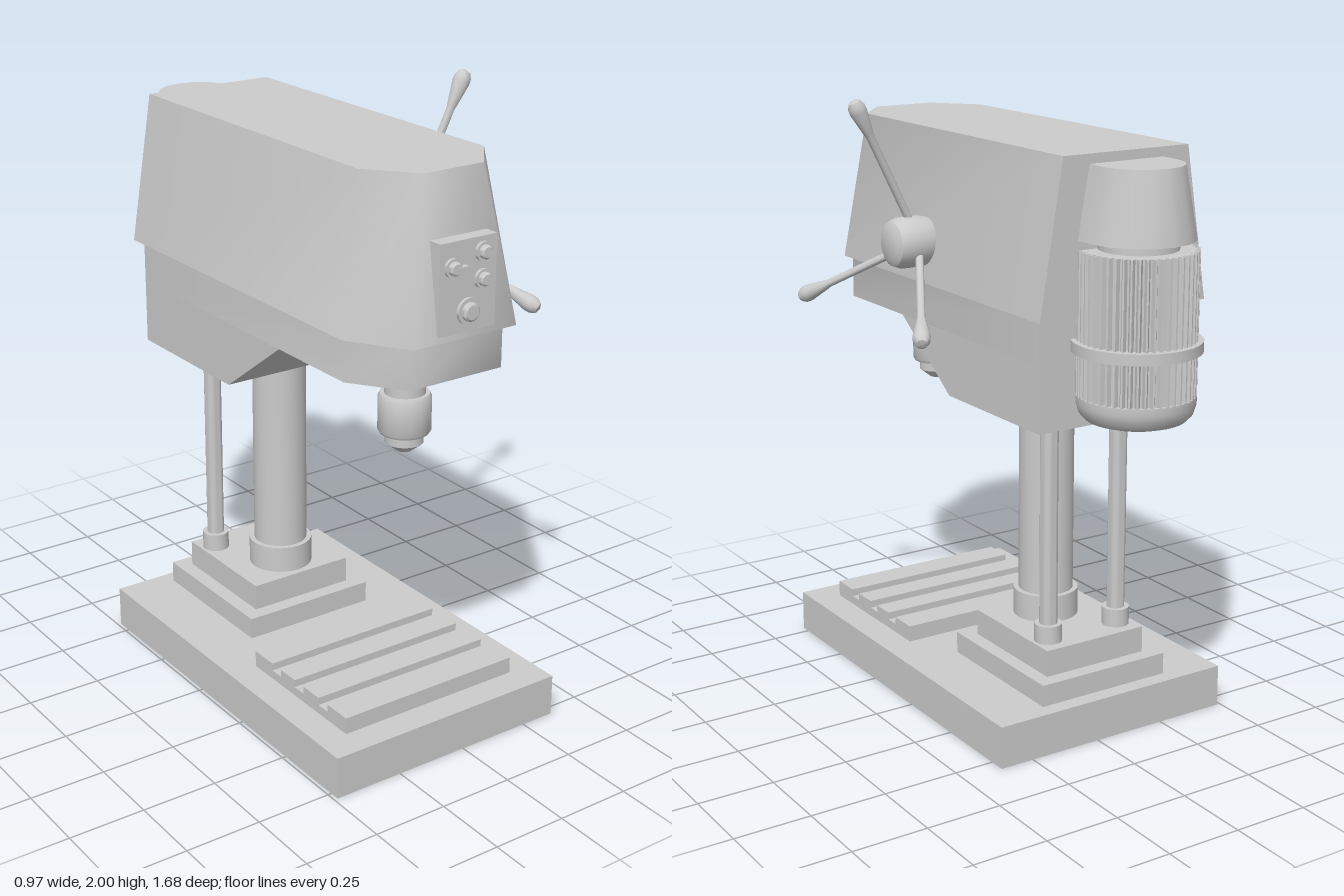
import * as THREE from 'three';
import { toCreasedNormals } from 'three/addons/utils/BufferGeometryUtils.js';

const CX = -0.06; // centre plane of the machine

export function createModel() {
  const model = new THREE.Group();
  model.name = 'drillPress';
  const grey = new THREE.MeshStandardMaterial({ color: 0xcccccc });

  function add(name, geometry, x = 0, y = 0, z = 0, parent = model) {
    const mesh = new THREE.Mesh(geometry, grey);
    mesh.name = name;
    mesh.position.set(x, y, z);
    parent.add(mesh);
    return mesh;
  }
  // Box from its bounds
  const block = (name, x0, x1, y0, y1, z0, z1) =>
    add(name, new THREE.BoxGeometry(x1 - x0, y1 - y0, z1 - z0), (x0 + x1) / 2, (y0 + y1) / 2, (z0 + z1) / 2);
  // Turned part from [radius, height] pairs, listed bottom to top
  const turned = (profile, segments = 32) => toCreasedNormals(
    new THREE.LatheGeometry(profile.map(([r, y]) => new THREE.Vector2(r, y)), segments), 0.65);
  const rod = (r, y0, y1, segments = 32) => turned([[0, y0], [r, y0], [r, y1], [0, y1]], segments);
  // Side profile of [z, y] pairs extruded across x
  function sideExtrude(points, width) {
    const shape = new THREE.Shape(points.map(([z, y]) => new THREE.Vector2(-z, y)));
    return new THREE.ExtrudeGeometry(shape, { depth: width, bevelEnabled: false })
      .translate(0, 0, -width / 2).rotateY(Math.PI / 2);
  }
  // Closed solid between two convex [x, z] outlines (counterclockwise from above)
  function loft(low, y0, high, y1, crease) {
    const a = low.map(([x, z]) => [x, y0, z]);
    const b = high.map(([x, z]) => [x, y1, z]);
    const pos = [];
    const n = a.length;
    for (let i = 0; i < n; i++) {
      const j = (i + 1) % n;
      pos.push(...a[i], ...a[j], ...b[j], ...a[i], ...b[j], ...b[i]);
      if (i > 0 && j > 0) pos.push(...b[0], ...b[i], ...b[j], ...a[0], ...a[j], ...a[i]);
    }
    const g = new THREE.BufferGeometry();
    g.setAttribute('position', new THREE.Float32BufferAttribute(pos, 3));
    return toCreasedNormals(g, crease);
  }

  // Base plate, slotted work table and stepped column foot
  block('base', -0.488, 0.367, 0, 0.14, -0.555, 0.783);
  const table = [[0.685, 0.14], [0.685, 0.195]];
  for (const z of [0.585, 0.453, 0.325]) {
    table.push([z, 0.195], [z, 0.17], [z - 0.048, 0.17], [z - 0.048, 0.195]);
  }
  table.push([0.177, 0.195], [0.177, 0.14]);
  add('slottedTable', sideExtrude(table, 0.654), CX);
  block('columnFootLower', -0.298, 0.177, 0.14, 0.212, -0.502, 0.015);
  block('columnFootUpper', -0.247, 0.128, 0.21, 0.3, -0.452, -0.035);

  // Column and the two rear guide rods
  add('columnCollar', rod(0.107, 0.3, 0.39), CX, 0, -0.164);
  add('column', rod(0.09, 0.3, 1.1), CX, 0, -0.164);
  for (const s of [-1, 1]) {
    add('guideRod', rod(0.029, 0.3, 1.1, 20), CX + s * 0.133, 0, -0.375);
    add('guideRodCollar', rod(0.045, 0.3, 0.36, 20), CX + s * 0.133, 0, -0.375);
  }

  // Head: chamfered lower band, rear wedge and tapered cover
  const footprint = (half, nose, back, bend, front) => [
    [nose, front], [half, bend], [half, back], [-half, back], [-half, bend], [-nose, front]];
  const band = footprint(0.285, 0.17, -0.542, 0.605, 0.77);
  add('headBand', loft(band, 1.265, band, 1.41, 1.05), CX);
  add('headWedge', sideExtrude([[0.267, 1.265], [-0.542, 1.265], [-0.542, 1.055], [-0.026, 1.055]], 0.57), CX);
  add('headCover', loft(footprint(0.306, 0.188, -0.574, 0.625, 0.81), 1.405,
    footprint(0.228, 0.108, -0.574, 0.59, 0.735), 1.89, 1.05), CX);

  // Spindle and chuck
  add('spindle', rod(0.064, 1.13, 1.28), CX, 0, 0.527);
  add('chuck', turned([[0, 0.957], [0.025, 0.957], [0.06, 0.985], [0.06, 1.018], [0.077, 1.018],
    [0.083, 1.028], [0.083, 1.135], [0.077, 1.147], [0, 1.147]]), CX, 0, 0.527);

  // Motor: finned body, clamp ring, rounded end bell, neck and cap
  const MZ = -0.64;
  const fins = new THREE.Shape();
  const FINS = 48;
  for (let i = 0; i < FINS * 4; i++) {
    const t = ((i + 0.5) / (FINS * 4)) * Math.PI * 2;
    const r = i % 4 < 2 ? 0.183 : 0.168;
    fins[i ? 'lineTo' : 'moveTo'](r * Math.cos(t), r * Math.sin(t));
  }
  fins.closePath();
  add('motorFins', new THREE.ExtrudeGeometry(fins, { depth: 0.445, bevelEnabled: false })
    .rotateX(-Math.PI / 2), CX, 1.163, MZ);
  add('motorRing', rod(0.2, 1.3, 1.335, 40), CX, 0, MZ);
  add('motorEndBell', turned([[0, 1.08], [0.125, 1.08], [0.155, 1.09], [0.174, 1.11],
    [0.183, 1.14], [0.183, 1.165], [0, 1.165]], 40), CX, 0, MZ);
  add('motorNeck', rod(0.122, 1.6, 1.65), CX, 0, MZ);
  const capOutline = (r) => {
    const points = [[r, -0.55]];
    for (let i = 0; i <= 8; i++) {
      const t = (i / 8) * Math.PI;
      points.push([r * Math.cos(t), MZ - r * Math.sin(t)]);
    }
    points.push([-r, -0.55]);
    return points;
  };
  add('motorCap', loft(capOutline(0.173), 1.638, capOutline(0.135), 1.86, 0.6), CX);

  // Feed handle: hub turned along x with three raked levers
  const handle = new THREE.Group();
  handle.name = 'feedHandle';
  handle.position.set(0.24, 1.537, 0.128);
  model.add(handle);
  add('hub', turned([[0, -0.05], [0.07, -0.05], [0.082, 0], [0.082, 0.072], [0.072, 0.1],
    [0.052, 0.111], [0, 0.111]]).rotateZ(-Math.PI / 2), 0, 0, 0, handle);
  const lever = turned([[0.013, 0], [0.013, 0.385], [0.016, 0.4], [0.028, 0.475], [0.027, 0.493],
    [0.018, 0.51], [0, 0.516]], 16).rotateZ(-0.46);
  for (let i = 0; i < 3; i++) {
    add('lever', lever, 0, 0, 0, handle).rotation.x = (i * Math.PI * 2) / 3;
  }

  // Control panel with round buttons and a toggle
  block('controlPanel', -0.164, 0.042, 1.425, 1.702, 0.75, 0.812);
  for (const [x, y, r] of [[-0.12, 1.627, 0.029], [-0.01, 1.658, 0.029], [-0.01, 1.577, 0.029], [-0.06, 1.488, 0.04]]) {
    add('buttonBezel', rod(r, 0, 0.012, 24).rotateX(Math.PI / 2), x, y, 0.81);
    add('button', turned([[0, 0], [r * 0.72, 0], [r * 0.72, 0.022], [r * 0.55, 0.028], [0, 0.028]], 24)
      .rotateX(Math.PI / 2), x, y, 0.81);
  }
  block('toggle', -0.12, -0.08, 1.622, 1.632, 0.82, 0.84);

  return model;
}
